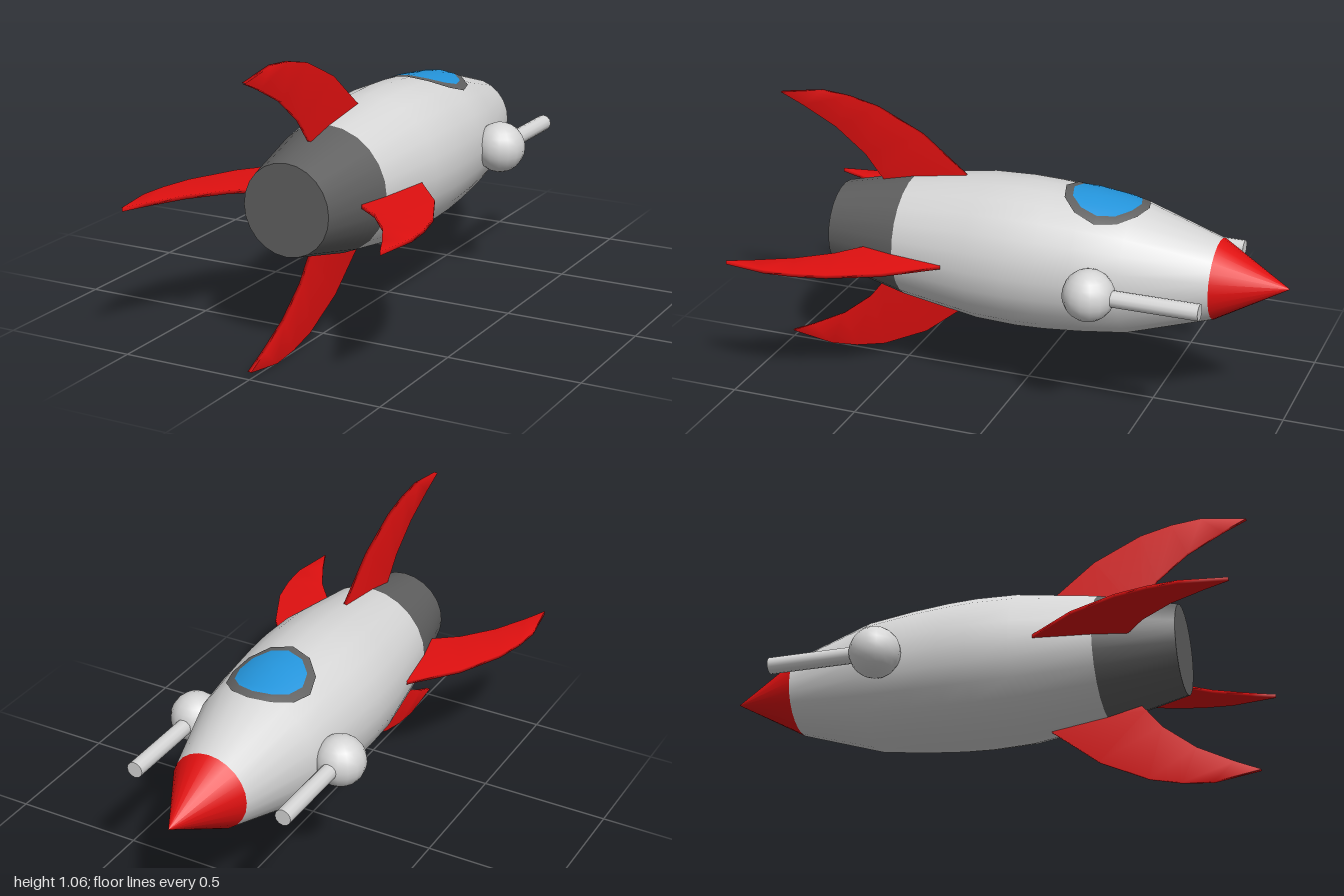
import * as THREE from 'three';

const AXIS = 0.528; // height of the hull axis
const HULL = [ // [z, radius] from tail to nose
  [0.745, 0.168], [0.455, 0.236], [0.155, 0.28], [0, 0.285], [-0.11, 0.281],
  [-0.25, 0.269], [-0.425, 0.247], [-0.735, 0.15], [-0.998, 0.0005],
];

const material = (name, color, side = THREE.FrontSide) => {
  const m = new THREE.MeshStandardMaterial({ color, side });
  m.name = name;
  return m;
};

// Hull radius at a given z
function hullRadius(z) {
  for (let i = 0; i < HULL.length - 1; i++) {
    const [z0, r0] = HULL[i], [z1, r1] = HULL[i + 1];
    if (z <= z0 && z >= z1) return r0 + (r1 - r0) * (z0 - z) / (z0 - z1);
  }
  return 0;
}

// Turned section of the hull along z
function hullSection(from, to) {
  const pts = HULL.slice(from, to + 1).map(([z, r]) => new THREE.Vector2(r, -z));
  return new THREE.LatheGeometry(pts, 24).rotateX(-Math.PI / 2);
}

// Flat ring laid onto the top of the hull
function windowPlate(inner, outer, lift) {
  const g = new THREE.RingGeometry(inner, outer, 12, 8).rotateX(-Math.PI / 2).translate(0, 0, -0.308);
  const p = g.attributes.position;
  for (let i = 0; i < p.count; i++) {
    const r = hullRadius(p.getZ(i)) + lift;
    p.setY(i, Math.sqrt(r * r - p.getX(i) ** 2));
  }
  g.computeVertexNormals();
  return g;
}

// Swept fin: pairs of leading and trailing points [z, radius], root to tip
function finGeometry() {
  const t = 0.007;
  const sections = [
    [[0.2, 0.23], [0.57, 0.19]], [[0.42, 0.405], [0.6, 0.225]], [[0.6, 0.49], [0.655, 0.295]],
    [[0.72, 0.518], [0.775, 0.39]], [[0.83, 0.528], [0.91, 0.46]], [[1, 0.502], [1, 0.5]],
  ];
  const pos = [], idx = [];
  sections.forEach(([[lz, lr], [tz, tr]], i) => {
    pos.push(t, lr, lz, t, tr, tz, -t, tr, tz, -t, lr, lz);
    if (i === sections.length - 1) return;
    for (let j = 0; j < 4; j++) {
      const a = i * 4 + j, b = i * 4 + (j + 1) % 4;
      idx.push(a, b + 4, b, a, a + 4, b + 4);
    }
  });
  const g = new THREE.BufferGeometry();
  g.setAttribute('position', new THREE.Float32BufferAttribute(pos, 3));
  g.setIndex(idx);
  g.computeVertexNormals();
  return g;
}

export function createModel() {
  const red = material('red paint', 0xe01010);
  const grey = material('light grey metal', 0xd6d6d6);
  const dark = material('dark grey metal', 0x606060);
  const blue = material('blue glass', 0x2495dc);

  const model = new THREE.Group();
  model.name = 'rocket';
  const ship = new THREE.Group();
  ship.name = 'ship';
  ship.position.y = AXIS;
  model.add(ship);

  const add = (name, geometry, mat, parent = ship) => {
    const mesh = new THREE.Mesh(geometry, mat);
    mesh.name = name;
    parent.add(mesh);
    return mesh;
  };

  // Hull
  add('engineSkirt', hullSection(0, 1), dark);
  add('hull', hullSection(1, 7), grey);
  add('noseCone', hullSection(7, 8), red);
  add('tailPlate', new THREE.CircleGeometry(0.168, 24), dark).position.z = 0.745;

  // Cockpit window
  add('windowFrame', windowPlate(0.124, 0.16, 0.004), dark);
  add('windowGlass', windowPlate(0.001, 0.129, 0.005), blue);

  // Four fins
  const fin = finGeometry();
  for (let i = 0; i < 4; i++) add('fin', fin, red).rotation.z = i * Math.PI / 2;

  // Side guns
  for (const [side, x] of [['left', 0.3], ['right', -0.3]]) {
    const gun = new THREE.Group();
    gun.name = side + 'Gun';
    gun.position.set(x, 0, -0.34);
    ship.add(gun);
    add('gunBall', new THREE.SphereGeometry(0.096, 16, 12), grey, gun);
    const barrel = new THREE.CylinderGeometry(0.031, 0.031, 0.41, 12).rotateX(-Math.PI / 2);
    add('gunBarrel', barrel, grey, gun).position.z = -0.205;
  }
  return model;
}
